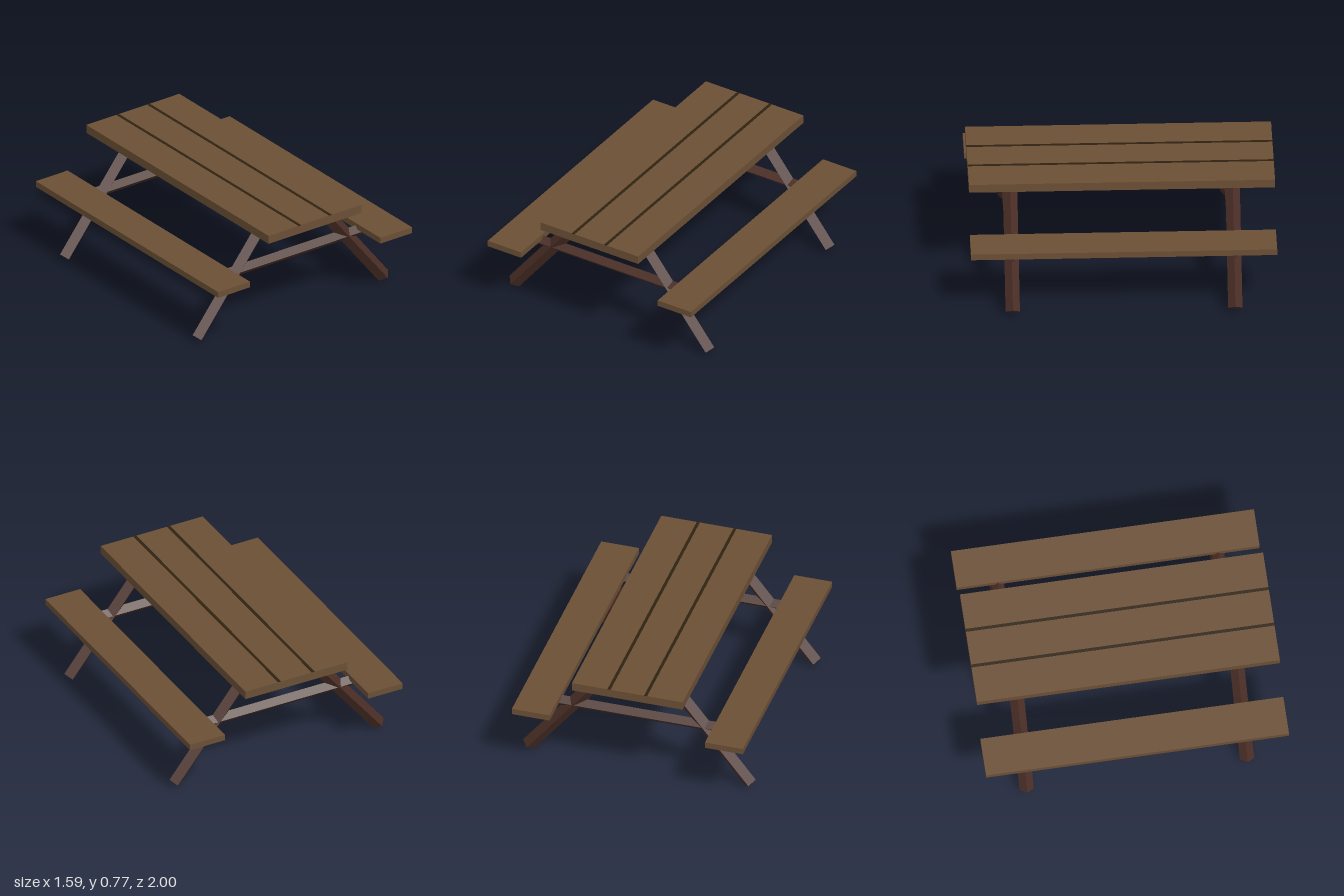
import * as THREE from 'three';

export function createModel() {
  const table = new THREE.Group();
  table.name = 'picnicTable';

  const plankWood = new THREE.MeshStandardMaterial({ color: 0x6b4f35 });
  plankWood.name = 'plank wood';
  const frameWood = new THREE.MeshStandardMaterial({ color: 0x4a2e26, flatShading: true });
  frameWood.name = 'dark frame wood';
  const grooveBrown = new THREE.MeshStandardMaterial({ color: 0x2f2212 });
  grooveBrown.name = 'groove brown';

  // Box spanning x0..x1 and y0..y1 over the full length of the table
  function plank(name, x0, x1, y0, y1, material) {
    const mesh = new THREE.Mesh(new THREE.BoxGeometry(x1 - x0, y1 - y0, 2), material);
    mesh.position.set((x0 + x1) / 2, (y0 + y1) / 2, 0);
    mesh.name = name;
    table.add(mesh);
  }

  // Square beam set on edge, running between two points in the plane z
  function beam(name, x0, y0, x1, y1, z, radius) {
    const length = Math.hypot(x1 - x0, y1 - y0);
    const mesh = new THREE.Mesh(new THREE.CylinderGeometry(radius, radius, length, 4), frameWood);
    mesh.position.set((x0 + x1) / 2, (y0 + y1) / 2, z);
    mesh.rotation.z = -Math.atan2(x1 - x0, y1 - y0);
    mesh.name = name;
    table.add(mesh);
  }

  // Table top with two dark grooves between its boards
  plank('tableTop', -0.378, 0.378, 0.717, 0.775, plankWood);

  for (const [side, s] of [['left', 1], ['right', -1]]) {
    plank(side + 'Groove', s * 0.125 - 0.01, s * 0.125 + 0.01, 0.773, 0.777, grooveBrown);
    plank(side + 'Bench', s * 0.659 - 0.129, s * 0.659 + 0.129, 0.445, 0.487, plankWood);
  }

  // Trestle at each end: two splayed legs and a crossbar
  for (const [end, z] of [['front', 0.727], ['back', -0.727]]) {
    for (const [side, s] of [['Left', 1], ['Right', -1]]) {
      beam(end + side + 'Leg', s * 0.757, 0.034, s * 0.217, 0.718, z, 0.047);
    }
    beam(end + 'Crossbar', -0.727, 0.429, 0.727, 0.429, z, 0.04);
  }

  return table;
}
